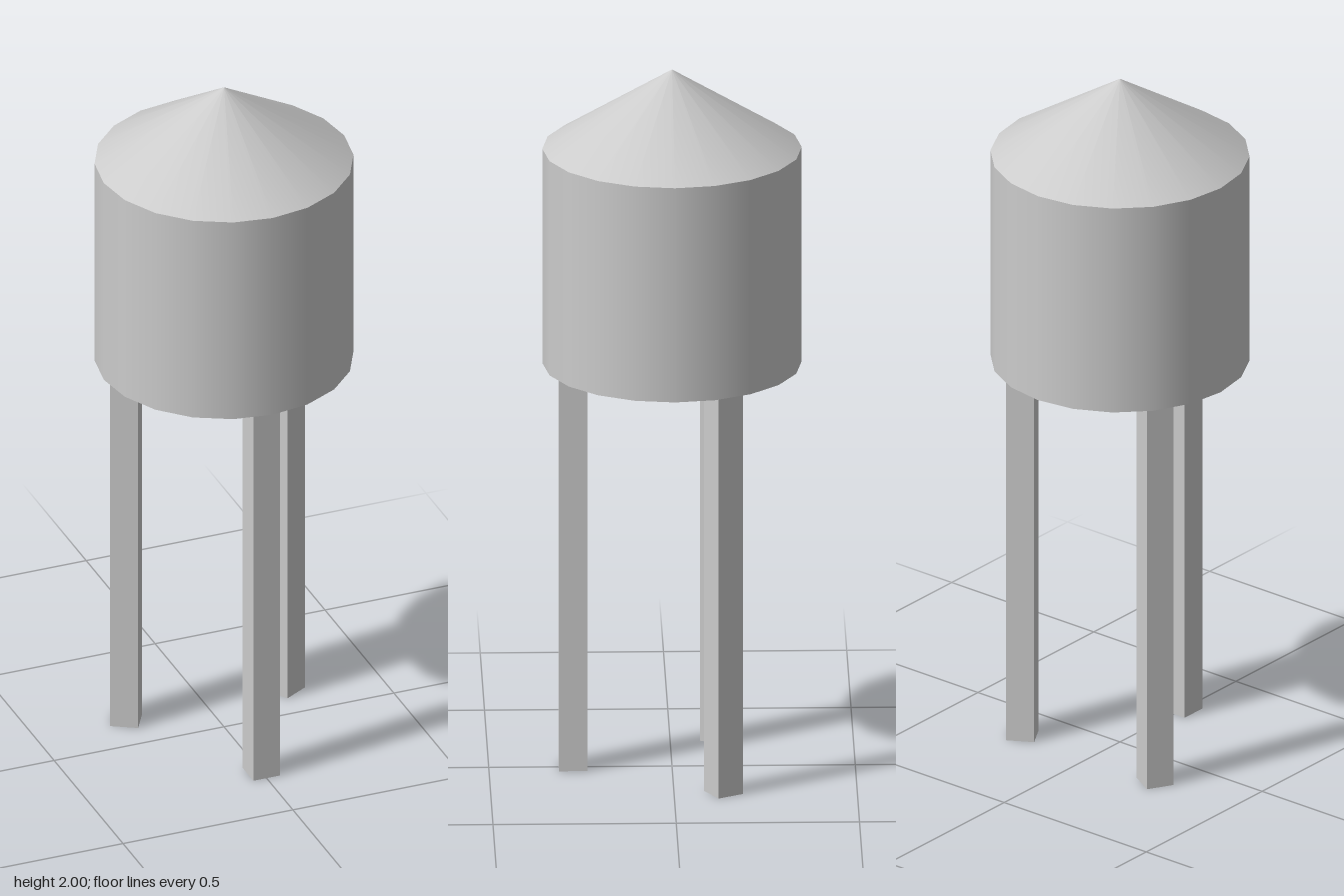
import * as THREE from 'three';

const SIDES = 20;
const RADIUS = 0.354;
const TANK_BOTTOM = 1.16;
const TANK_TOP = 1.775;
const LEG_WIDTH = 0.078;
const LEG_OFFSET = 0.27;

export function createModel() {
  const model = new THREE.Group();
  model.name = 'waterTower';
  const material = new THREE.MeshStandardMaterial({ color: 0xcccccc });

  const add = (name, geometry, y) => {
    const mesh = new THREE.Mesh(geometry, material);
    mesh.name = name;
    mesh.position.y = y;
    model.add(mesh);
    return mesh;
  };

  // Tank drum
  const tankHeight = TANK_TOP - TANK_BOTTOM;
  add('tank', new THREE.CylinderGeometry(RADIUS, RADIUS, tankHeight, SIDES), TANK_BOTTOM + tankHeight / 2);

  // Conical roof, flush with the drum
  const roofHeight = 2 - TANK_TOP;
  add('roof', new THREE.ConeGeometry(RADIUS, roofHeight, SIDES, 1, true), TANK_TOP + roofHeight / 2);

  // Three square legs, one at the front, each turned to face outward
  const legGeometry = new THREE.BoxGeometry(LEG_WIDTH, TANK_BOTTOM, LEG_WIDTH);
  ['frontLeg', 'backLeftLeg', 'backRightLeg'].forEach((name, i) => {
    const angle = (i * Math.PI * 2) / 3;
    const leg = add(name, legGeometry, TANK_BOTTOM / 2);
    leg.position.x = Math.sin(angle) * LEG_OFFSET;
    leg.position.z = Math.cos(angle) * LEG_OFFSET;
    leg.rotation.y = angle;
  });

  return model;
}
